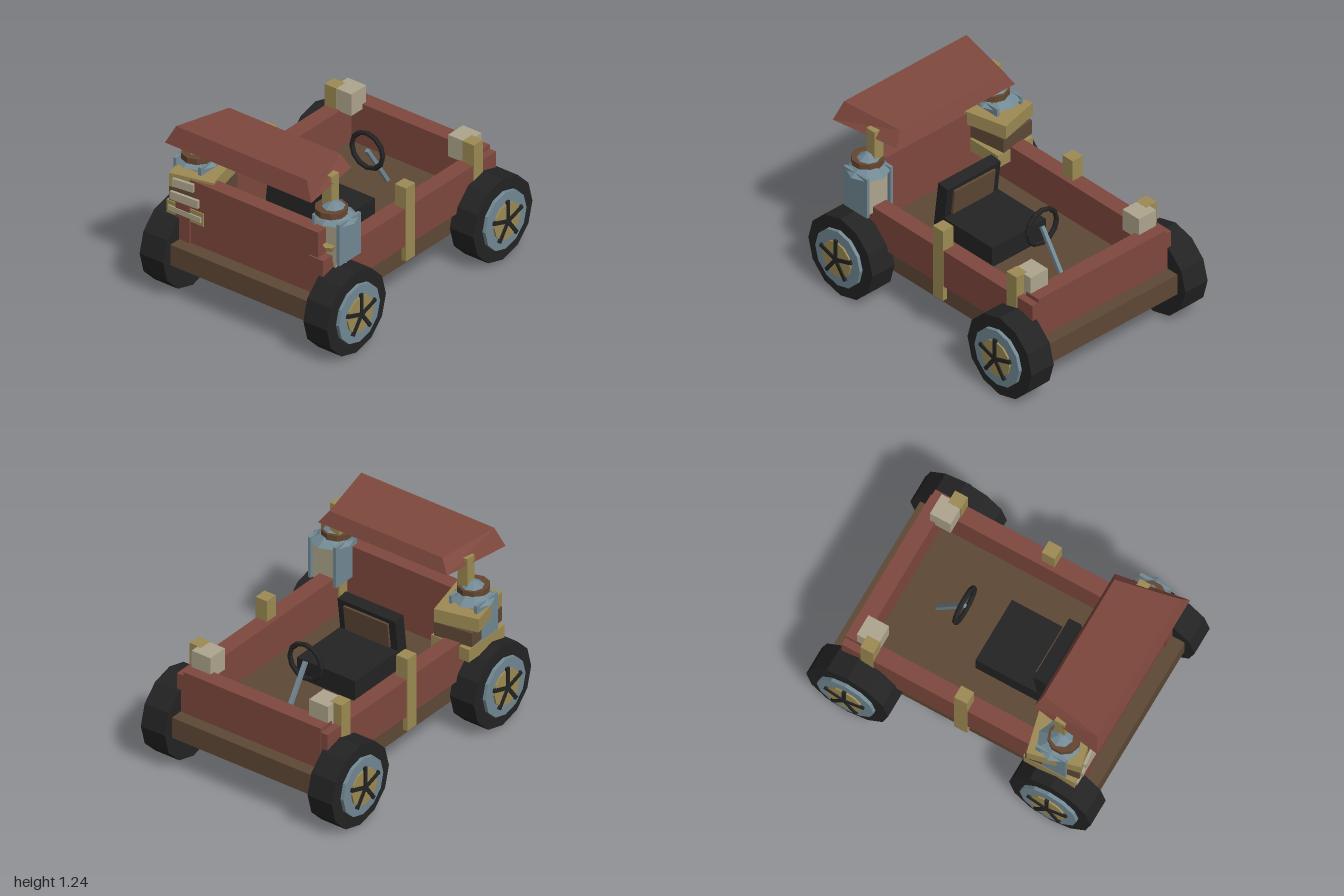
import * as THREE from 'three';

const material = (name, color) => Object.assign(new THREE.MeshStandardMaterial({ color }), { name });

export function createModel() {
  const model = new THREE.Group();
  model.name = 'cart';
  const red = material('barn red', 0x7e483d);
  const brown = material('dark wood', 0x5e4835);
  const black = material('rubber black', 0x232323);
  const blue = material('blue grey metal', 0x728994);
  const gold = material('straw gold', 0x9d8b54);
  const cream = material('cream', 0xaea58d);
  const capBrown = material('cap brown', 0x64462f);

  // Faceted mesh helper: every face gets its own flat normal
  function add(name, geometry, mat, x, y, z, parent = model) {
    const flat = geometry.index ? geometry.toNonIndexed() : geometry;
    flat.computeVertexNormals();
    const mesh = new THREE.Mesh(flat, mat);
    mesh.name = name;
    mesh.position.set(x, y, z);
    parent.add(mesh);
    return mesh;
  }
  // Box given by its limits on each axis
  const box = (name, mat, [x0, x1], [y0, y1], [z0, z1], parent) =>
    add(name, new THREE.BoxGeometry(x1 - x0, y1 - y0, z1 - z0), mat,
      (x0 + x1) / 2, (y0 + y1) / 2, (z0 + z1) / 2, parent);
  // Limits on the x axis for one side of the cart
  const sideX = (s, a, b) => (s > 0 ? [a, b] : [-b, -a]);

  // Chassis and body walls
  box('chassis', brown, [-0.55, 0.55], [0.24, 0.386], [-0.93, 0.93]);
  box('frontPanel', red, [-0.53, 0.53], [0.385, 0.83], [0.73, 0.832]);
  box('rearPanel', red, [-0.53, 0.53], [0.385, 0.68], [-0.842, -0.73]);

  // Wheel: tyre, rim, hub and five spokes, facing +x
  function wheel(name, side, z) {
    const g = new THREE.Group();
    g.name = name;
    const disc = (part, r, x0, x1, mat) =>
      add(part, new THREE.CylinderGeometry(r, r, x1 - x0, 12).rotateZ(-Math.PI / 2), mat, (x0 + x1) / 2, 0, 0, g);
    disc('tyre', 0.287, -0.093, 0.093, black);
    disc('rim', 0.2, 0.09, 0.117, blue);
    disc('hub', 0.126, 0.115, 0.129, gold);
    for (let i = 0; i < 5; i++) {
      const spoke = new THREE.BoxGeometry(0.016, 0.145, 0.025).translate(0, 0.0725, 0);
      add('spoke', spoke, black, 0.131, 0, 0, g).rotation.x = (i * Math.PI * 2) / 5;
    }
    g.position.set(side * 0.643, 0.287, z);
    if (side < 0) g.scale.x = -1;
    model.add(g);
  }

  // Lantern on the front corner, drawn for the +x side
  function lantern(side) {
    const g = new THREE.Group();
    g.name = side > 0 ? 'leftLantern' : 'rightLantern';
    box('lanternFoot', cream, [0.49, 0.6], [0.52, 0.61], [0.64, 0.745], g);
    box('lanternBody', cream, [0.455, 0.63], [0.605, 0.88], [0.59, 0.755], g);
    box('lanternOuterPlate', blue, [0.63, 0.652], [0.61, 0.9], [0.565, 0.775], g);
    box('lanternInnerPlate', blue, [0.435, 0.457], [0.61, 0.9], [0.565, 0.775], g);
    add('lanternRoof', new THREE.CylinderGeometry(0.075, 0.14, 0.045, 8), blue, 0.545, 0.9, 0.67, g);
    add('lanternCap', new THREE.CylinderGeometry(0.105, 0.105, 0.04, 10), capBrown, 0.525, 0.935, 0.695, g);
    add('lanternTop', new THREE.CylinderGeometry(0.02, 0.075, 0.038, 8), blue, 0.53, 0.973, 0.68, g);
    if (side > 0) {
      add('lanternKnob', new THREE.CylinderGeometry(0.045, 0.03, 0.036, 6), gold, 0.565, 0.708, 0.765, g);
    }
    if (side < 0) g.scale.x = -1;
    model.add(g);
  }

  for (const s of [1, -1]) {
    const label = s > 0 ? 'left' : 'right';
    box(label + 'SideWall', red, sideX(s, 0.468, 0.58), [0.385, 0.652], [-0.84, 0.845]);
    box(label + 'MiddlePost', gold, sideX(s, 0.498, 0.586), [0.28, 0.8], [-0.045, 0.045]);
    box(label + 'RearPost', gold, sideX(s, 0.498, 0.586), [0.28, 0.8], [-0.705, -0.615]);
    box(label + 'RoofPost', gold, sideX(s, 0.455, 0.53), [0.5, 1.165], [0.627, 0.7]);
    box(label + 'RearLamp', cream, sideX(s, 0.38, 0.525), [0.645, 0.798], [-0.765, -0.62]);
    wheel(label + 'FrontWheel', s, 0.713);
    wheel(label + 'RearWheel', s, -0.713);
    lantern(s);
  }

  // Sloping roof: a box narrowed toward the top and the back
  const roof = new THREE.BoxGeometry(2, 2, 2);
  const p = roof.attributes.position;
  for (let i = 0; i < p.count; i++) {
    const top = p.getY(i) > 0, front = p.getZ(i) > 0;
    const halfWidth = (front ? 0.575 : 0.497) - (top ? 0.062 : 0);
    p.setXYZ(i, p.getX(i) * halfWidth,
      top ? (front ? 1.24 : 1.205) : 1.115,
      front ? (top ? 0.92 : 0.953) : (top ? 0.5 : 0.468));
  }
  add('roof', roof, red, 0, 0, 0);

  // Seat with a leaning back and its pad
  box('seatCushion', black, [-0.225, 0.225], [0.386, 0.53], [-0.1, 0.36]);
  const back = new THREE.Group();
  back.name = 'seatBack';
  box('seatBackFrame', black, [-0.222, 0.222], [0, 0.33], [-0.042, 0.042], back);
  box('seatBackPad', brown, [-0.17, 0.17], [0.12, 0.3], [-0.058, -0.04], back);
  back.position.set(0, 0.43, 0.385);
  back.rotation.x = -0.12;
  model.add(back);

  // Steering wheel and column
  add('steeringWheel', new THREE.TorusGeometry(0.122, 0.017, 6, 12), black, 0, 0.69, -0.305);
  const from = new THREE.Vector3(0, 0.386, -0.5), to = new THREE.Vector3(0, 0.69, -0.305);
  const column = add('steeringColumn', new THREE.BoxGeometry(0.025, from.distanceTo(to), 0.025), blue,
    ...from.clone().add(to).multiplyScalar(0.5).toArray());
  column.rotation.x = Math.atan2(to.z - from.z, to.y - from.y);

  // Stack of crates on the -x front corner, each with a cream front plate
  const crates = [
    { name: 'topCrate', mat: gold, size: [0.3, 0.095, 0.35], y: 0.798, turn: 0.24, plate: [-0.505, 0.795, 0.15, 0.055, 0.86] },
    { name: 'middleCrate', mat: brown, size: [0.27, 0.1, 0.36], y: 0.695, turn: 0.12, plate: [-0.5, 0.692, 0.21, 0.056, 0.855] },
    { name: 'bottomCrate', mat: gold, size: [0.29, 0.09, 0.36], y: 0.585, turn: 0, plate: [-0.508, 0.583, 0.255, 0.036, 0.84] },
  ];
  for (const c of crates) {
    add(c.name, new THREE.BoxGeometry(...c.size), c.mat, -0.51, c.y, 0.66).rotation.y = c.turn;
    const [x, y, w, h, z] = c.plate;
    add(c.name + 'Plate', new THREE.BoxGeometry(w, h, 0.02), cream, x, y, z).rotation.y = c.turn / 2;
  }
  return model;
}
